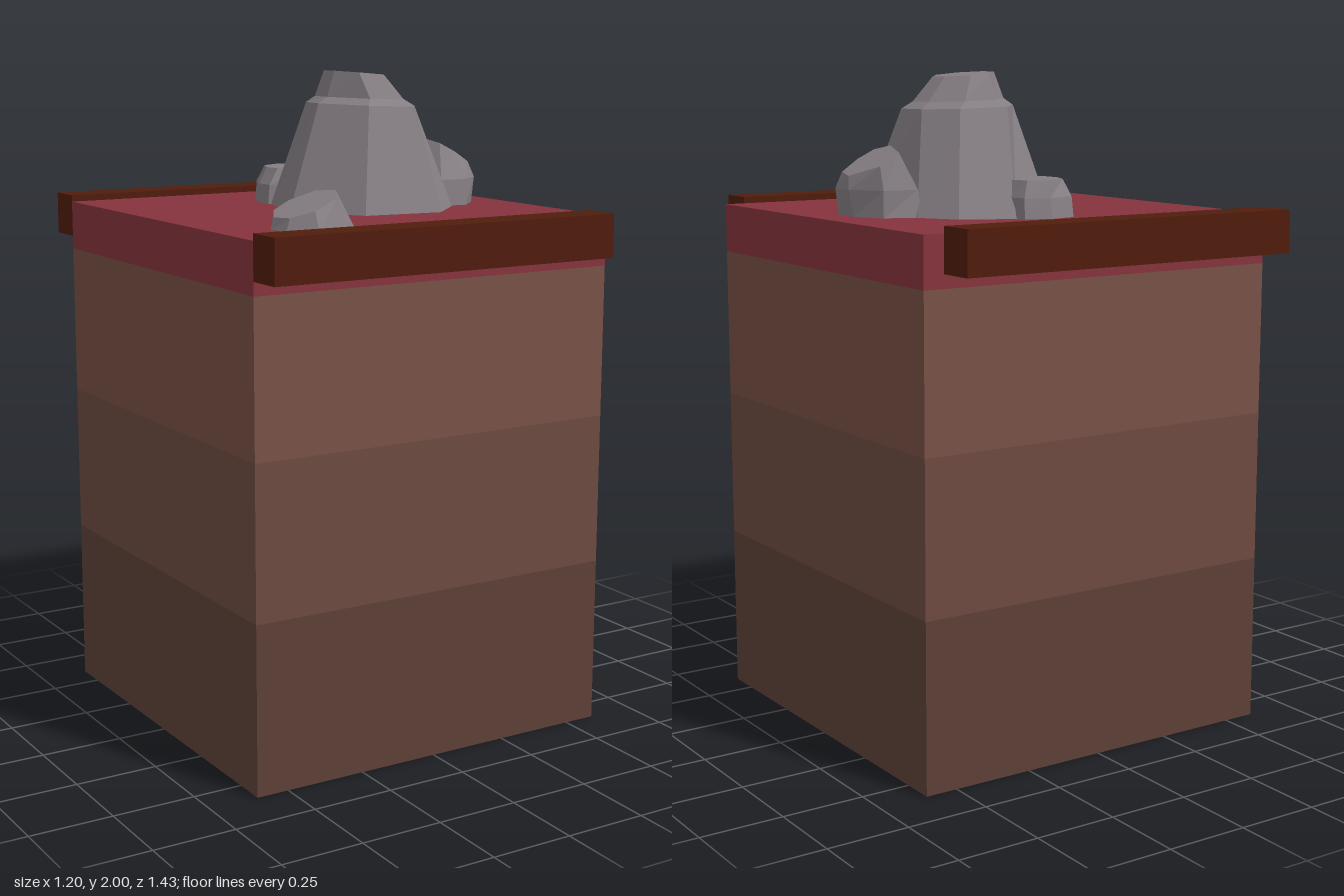
import * as THREE from 'three';

const mat = (color) => new THREE.MeshStandardMaterial({ color, flatShading: true });

// Box given by its lower and upper corners
function block(name, material, [x0, y0, z0], [x1, y1, z1]) {
  const mesh = new THREE.Mesh(new THREE.BoxGeometry(x1 - x0, y1 - y0, z1 - z0), material);
  mesh.position.set((x0 + x1) / 2, (y0 + y1) / 2, (z0 + z1) / 2);
  mesh.name = name;
  return mesh;
}

// Faceted rock: stacked [x, z] outlines, each at height y + slope * x, capped on top
function rock(name, material, rings) {
  const pos = [];
  const loops = rings.map(({ y, slope = 0, pts }) => pts.map(([x, z]) => [x, y + slope * x, z]));
  const n = loops[0].length;
  const top = loops[loops.length - 1];
  const centre = [0, 1, 2].map((k) => top.reduce((s, p) => s + p[k], 0) / n);
  for (let j = 0; j < n; j++) {
    const k = (j + 1) % n;
    for (let i = 0; i + 1 < loops.length; i++) {
      const a = loops[i][j], b = loops[i][k], c = loops[i + 1][k], d = loops[i + 1][j];
      pos.push(...a, ...b, ...c, ...a, ...c, ...d);
    }
    pos.push(...top[j], ...top[k], ...centre);
  }
  const geo = new THREE.BufferGeometry();
  geo.setAttribute('position', new THREE.Float32BufferAttribute(pos, 3));
  geo.computeVertexNormals();
  const mesh = new THREE.Mesh(geo, material);
  mesh.name = name;
  return mesh;
}

export function createModel() {
  const model = new THREE.Group();
  const stone = mat(0x857e83);
  const wood = mat(0x501c0d);

  // Earth layers, bottom to top
  const layers = [
    ['lowerEarth', 0x5d4037, 0, 0.51],
    ['middleEarth', 0x6d4a40, 0.51, 0.97],
    ['upperEarth', 0x775146, 0.97, 1.43],
    ['topSoil', 0x85333d, 1.43, 1.58],
  ];
  for (const [name, color, y0, y1] of layers) {
    model.add(block(name, mat(color), [-0.6, y0, -0.6], [0.6, y1, 0.6]));
  }

  // Rails along the front and back edges
  model.add(block('frontRail', wood, [-0.6, 1.47, 0.6], [0.535, 1.6, 0.715]));
  model.add(block('backRail', wood, [-0.6, 1.47, -0.715], [0.535, 1.6, -0.6]));

  // Large rock with a shoulder ledge and a narrow peak
  model.add(rock('mainRock', stone, [
    { y: 1.58, pts: [[-0.16, 0.03], [-0.02, 0.24], [0.23, 0.27], [0.36, 0.14], [0.35, -0.16], [0.28, -0.275], [0.13, -0.35], [-0.09, -0.21]] },
    { y: 1.9, slope: -0.04, pts: [[-0.04, 0], [0.05, 0.145], [0.2, 0.155], [0.27, 0.06], [0.265, -0.05], [0.2, -0.16], [0.06, -0.2], [-0.02, -0.11]] },
    { y: 1.92, slope: -0.04, pts: [[-0.01, 0], [0.07, 0.12], [0.18, 0.125], [0.235, 0.05], [0.235, -0.04], [0.17, -0.14], [0.07, -0.155], [0, -0.09]] },
    { y: 2, slope: -0.09, pts: [[0.01, 0.01], [0.055, 0.08], [0.13, 0.085], [0.17, 0.04], [0.17, -0.03], [0.125, -0.1], [0.07, -0.12], [0.015, -0.06]] },
  ]));

  // Smaller rock against the left flank of the large one
  model.add(rock('sideRock', stone, [
    { y: 1.58, pts: [[0.28, 0], [0.34, 0.12], [0.42, 0.13], [0.49, 0.06], [0.49, -0.03], [0.44, -0.12], [0.335, -0.16]] },
    { y: 1.66, pts: [[0.28, 0], [0.34, 0.11], [0.425, 0.12], [0.5, 0.06], [0.505, -0.03], [0.44, -0.12], [0.335, -0.14]] },
    { y: 1.97, slope: -0.54, pts: [[0.345, 0], [0.37, 0.055], [0.42, 0.065], [0.485, 0.045], [0.5, -0.02], [0.445, -0.11], [0.375, -0.1]] },
  ]));

  // Low rock behind the large one
  model.add(rock('backRock', stone, [
    { y: 1.58, pts: [[-0.1, -0.21], [0.03, -0.17], [0.12, -0.22], [0.135, -0.29], [0.12, -0.38], [0.04, -0.405], [-0.05, -0.385], [-0.1, -0.28]] },
    { y: 1.64, pts: [[-0.095, -0.21], [0.03, -0.18], [0.12, -0.22], [0.13, -0.29], [0.115, -0.37], [0.04, -0.395], [-0.05, -0.375], [-0.095, -0.28]] },
    { y: 1.69, pts: [[-0.06, -0.22], [0.03, -0.19], [0.1, -0.23], [0.11, -0.29], [0.095, -0.355], [0.03, -0.38], [-0.035, -0.35], [-0.065, -0.28]] },
  ]));

  // Loose stone with a sloping top near the front
  model.add(rock('looseRock', stone, [
    { y: 1.58, pts: [[-0.435, 0.4], [-0.43, 0.48], [-0.365, 0.55], [-0.26, 0.53], [-0.195, 0.455], [-0.21, 0.35], [-0.32, 0.3], [-0.39, 0.325]] },
    { y: 1.775, slope: 0.38, pts: [[-0.425, 0.4], [-0.415, 0.475], [-0.36, 0.52], [-0.285, 0.505], [-0.24, 0.43], [-0.26, 0.35], [-0.33, 0.32], [-0.39, 0.34]] },
  ]));

  return model;
}
